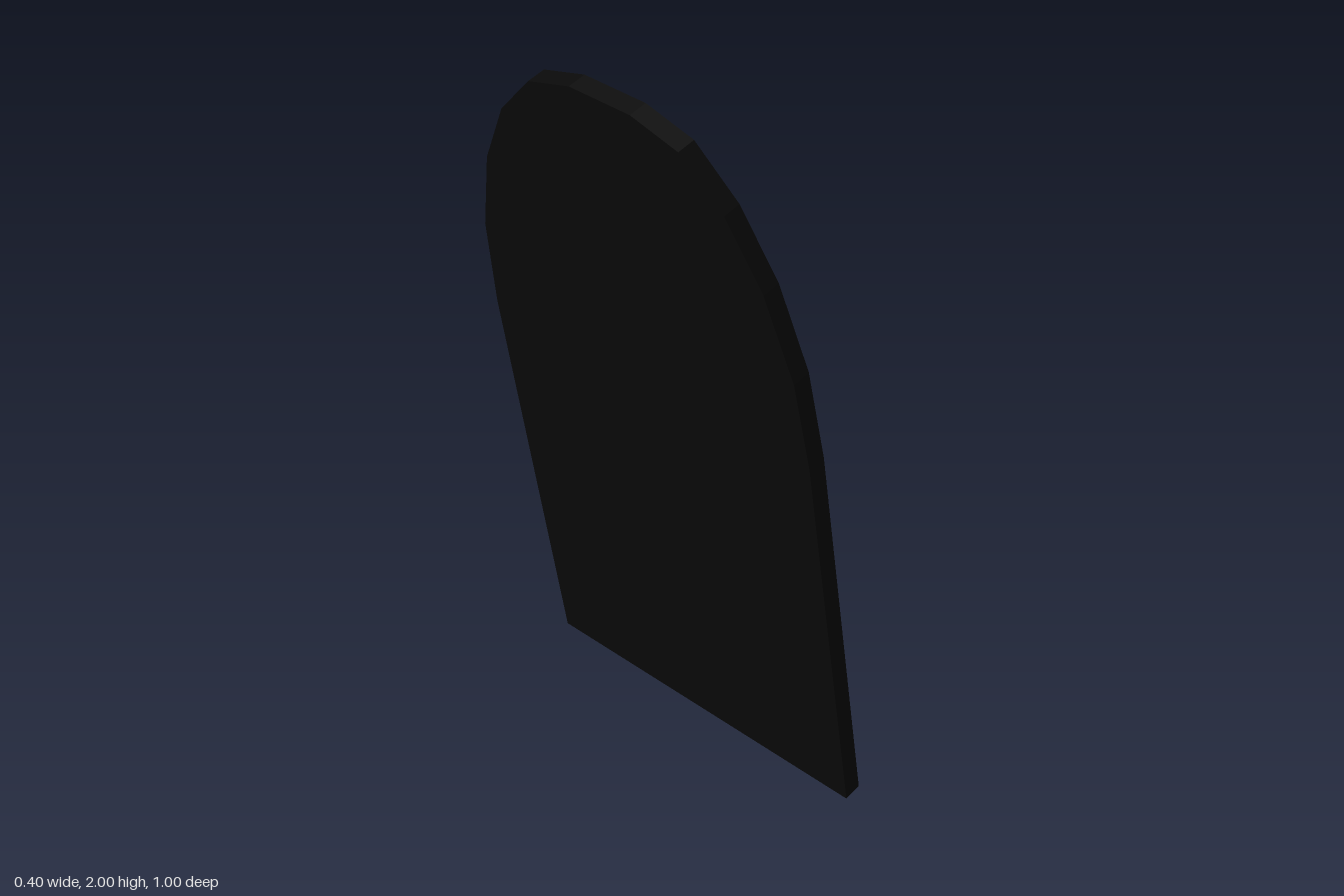
import * as THREE from 'three';

const TILT = THREE.MathUtils.degToRad(10);
const DEPTH = 0.05, BACK = 0.025, GLASS = 0.012;

// Heights are given upright and stretched onto the leaning plane
const toPlane = ([x, y]) => new THREE.Vector2(x, Math.max(0, (y - 0.0087) / Math.cos(TILT)));

// Symmetric outline from its right half, listed bottom to top
const mirrored = half => [...half, ...half.map(([x, y]) => [-x, y]).reverse()].map(toPlane);

const extrude = (shape, depth) =>
  new THREE.ExtrudeGeometry(shape, { depth, bevelEnabled: false });

export function createModel() {
  const black = new THREE.MeshStandardMaterial({ color: 0x0a0a0a, flatShading: true });
  const silver = new THREE.MeshStandardMaterial({ color: 0xcccccc, flatShading: true });
  const model = new THREE.Group();
  model.name = 'brokenMirror';

  // Leaning assembly: drawn in XY, turned to face +x, then tilted back
  const lean = new THREE.Group();
  lean.name = 'leaningMirror';
  lean.rotation.set(0, Math.PI / 2, TILT, 'ZYX');
  lean.position.x = 0.151;
  model.add(lean);

  const add = (name, geometry, material, z = 0, parent = lean) => {
    const mesh = new THREE.Mesh(geometry, material);
    mesh.name = name;
    mesh.position.z = z;
    parent.add(mesh);
  };

  // Arched frame with its opening
  const outer = mirrored([[0.5, 0], [0.5, 1.19], [0.482, 1.44], [0.422, 1.665],
    [0.333, 1.84], [0.222, 1.96], [0.09, 2]]);
  const inner = mirrored([[0.465, 0.1], [0.465, 1.19], [0.45, 1.42], [0.395, 1.63],
    [0.305, 1.79], [0.205, 1.9], [0.08, 1.935]]);
  const frame = new THREE.Shape(outer);
  frame.holes.push(new THREE.Path(inner));
  add('frame', extrude(frame, DEPTH), black);

  // Dark board behind the glass
  add('backing', extrude(new THREE.Shape(inner), BACK), black);

  // Remaining glass shards; two pieces are missing
  const shards = [
    [[-0.42, 1.535], [-0.36, 1.55], [-0.13, 1.921], [-0.205, 1.9], [-0.305, 1.79], [-0.395, 1.63]],
    [[-0.36, 1.55], [-0.015, 1.455], [0.345, 1.36], [0.456, 1.33], [0.45, 1.42], [0.395, 1.63],
      [0.305, 1.79], [0.205, 1.9], [0.08, 1.935], [-0.08, 1.935], [-0.13, 1.921]],
    [[-0.015, 1.455], [0.105, 1.12], [0.345, 1.36]],
    [[0.105, 1.12], [0.09, 1.075], [0.27, 0.835], [0.465, 0.865], [0.465, 1.19],
      [0.456, 1.33], [0.345, 1.36]],
    [[-0.42, 1.535], [-0.45, 1.42], [-0.465, 1.19], [-0.465, 0.945], [0.05, 1.07]],
    [[-0.465, 0.945], [-0.465, 0.72], [-0.31, 0.744], [0.03, 0.797], [0.27, 0.835],
      [0.09, 1.075], [0.05, 1.07]],
    [[-0.465, 0.72], [-0.465, 0.17], [-0.31, 0.744]],
    [[-0.465, 0.17], [-0.465, 0.1], [-0.255, 0.1], [-0.14, 0.22], [0.01, 0.435],
      [0.06, 0.59], [0.03, 0.797], [-0.31, 0.744]],
    [[0.03, 0.797], [0.06, 0.59], [0.465, 0.655], [0.465, 0.865], [0.27, 0.835]],
    [[0.01, 0.435], [-0.14, 0.22], [0.2, 0.1], [0.35, 0.1], [0.44, 0.36]],
    [[-0.14, 0.22], [-0.255, 0.1], [0.2, 0.1]],
    [[0.35, 0.1], [0.465, 0.1], [0.465, 0.42], [0.44, 0.36]],
  ];
  const glass = new THREE.Group();
  glass.name = 'glass';
  lean.add(glass);
  shards.forEach((corners, i) => {
    // Shrink each shard slightly so hairline cracks remain between them
    const points = corners.map(toPlane);
    const centre = points.reduce((sum, p) => sum.add(p), new THREE.Vector2())
      .divideScalar(points.length);
    points.forEach(p => p.lerp(centre, 0.003));
    add(`glassShard${i + 1}`, extrude(new THREE.Shape(points), GLASS), silver, BACK + 0.001, glass);
  });

  return model;
}
